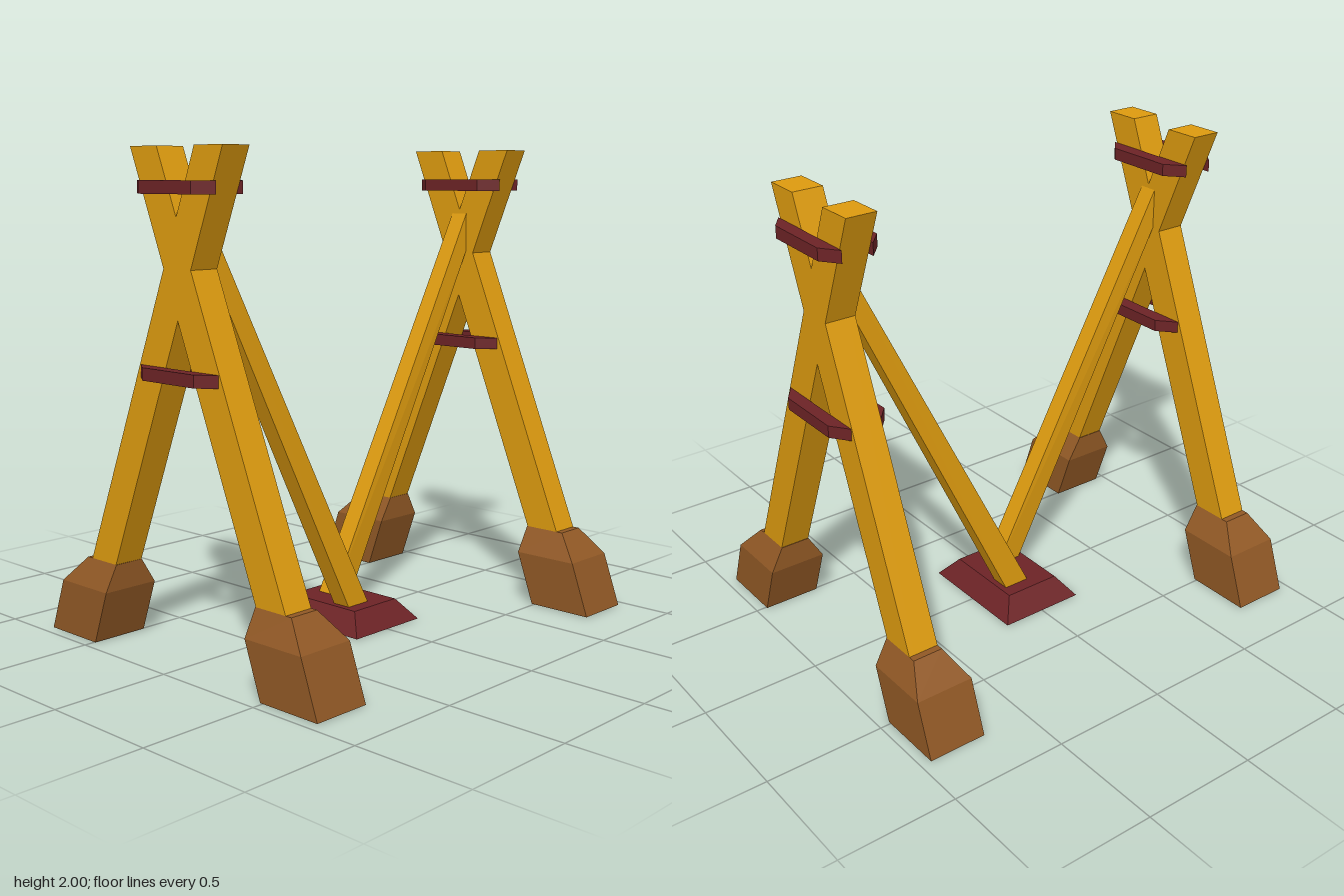
import * as THREE from 'three';

const wood = new THREE.MeshStandardMaterial({ color: 0xdc9a0f });
wood.name = 'yellowWood';
const brown = new THREE.MeshStandardMaterial({ color: 0x905825 });
brown.name = 'brownFoot';
const red = new THREE.MeshStandardMaterial({ color: 0x6c2326 });
red.name = 'darkRed';

// Four corners of a level rectangle, anticlockwise seen from above
function rect(y, xa, xb, z0, z1) {
  const x0 = Math.min(xa, xb), x1 = Math.max(xa, xb);
  return [[x0, y, z1], [x1, y, z1], [x1, y, z0], [x0, y, z0]];
}

// Solid with flat faces through four-cornered sections, listed from bottom to top
function loft(name, material, sections) {
  const pos = [];
  const quad = (a, b, c, d) => pos.push(...a, ...b, ...c, ...a, ...c, ...d);
  for (let s = 0; s < sections.length - 1; s++) {
    const lo = sections[s], hi = sections[s + 1];
    for (let i = 0; i < 4; i++) {
      const j = (i + 1) % 4;
      quad(lo[i], lo[j], hi[j], hi[i]);
    }
  }
  const [a, b, c, d] = sections[0];
  quad(d, c, b, a);
  quad(...sections[sections.length - 1]);
  const geometry = new THREE.BufferGeometry();
  geometry.setAttribute('position', new THREE.Float32BufferAttribute(pos, 3));
  geometry.computeVertexNormals();
  const mesh = new THREE.Mesh(geometry, material);
  mesh.name = name;
  return mesh;
}

// Crossed pair of legs with feet, binding plates and one brace to the centre
function createFrame() {
  const frame = new THREE.Group();
  for (const s of [1, -1]) {
    const side = s > 0 ? 'left' : 'right';
    frame.add(loft(side + 'Leg', wood, [
      rect(0, s * 0.547, s * 0.703, 0.77, 0.9),
      rect(2, s * -0.263, s * -0.107, 0.77, 0.9),
    ]));
    // Foot sits a hair above the leg's end so the end shows underneath
    frame.add(loft(side + 'Foot', brown, [
      rect(0.002, s * 0.49, s * 0.78, 0.705, 0.955),
      rect(0.225, s * 0.41, s * 0.7, 0.705, 0.955),
      rect(0.332, s * 0.41, s * 0.598, 0.77, 0.9),
    ]));
  }

  // Binding plates, outside and inside, at two heights
  const outer = [[-0.15, 0.955], [0.15, 0.955], [0.225, 0.9], [-0.225, 0.9]];
  const inner = [[-0.225, 0.77], [0.225, 0.77], [0.15, 0.705], [-0.15, 0.705]];
  for (const y of [1.117, 1.822]) {
    for (const [name, plan] of [['outerPlate', outer], ['innerPlate', inner]]) {
      frame.add(loft(name, red, [y, y + 0.05].map(h => plan.map(([x, z]) => [x, h, z]))));
    }
  }

  // Sloping brace from the centre base to the crossing
  frame.add(loft('brace', wood, [
    rect(0, 0.047, 0.133, -0.06, 0.06),
    [[-0.04, 1.57, 0.78], [0.04, 1.57, 0.78], [0.04, 1.74, 0.78], [-0.04, 1.74, 0.78]],
  ]));
  return frame;
}

export function createModel() {
  const model = new THREE.Group();
  model.name = 'trestle';

  const front = createFrame();
  front.name = 'frontFrame';
  const back = createFrame();
  back.name = 'backFrame';
  back.rotation.y = Math.PI;

  // Bevelled block where the braces meet
  const base = loft('centreBase', red, [
    rect(0.002, -0.26, 0.26, -0.193, 0.193),
    rect(0.09, -0.186, 0.186, -0.127, 0.127),
  ]);
  model.add(front, back, base);
  return model;
}
